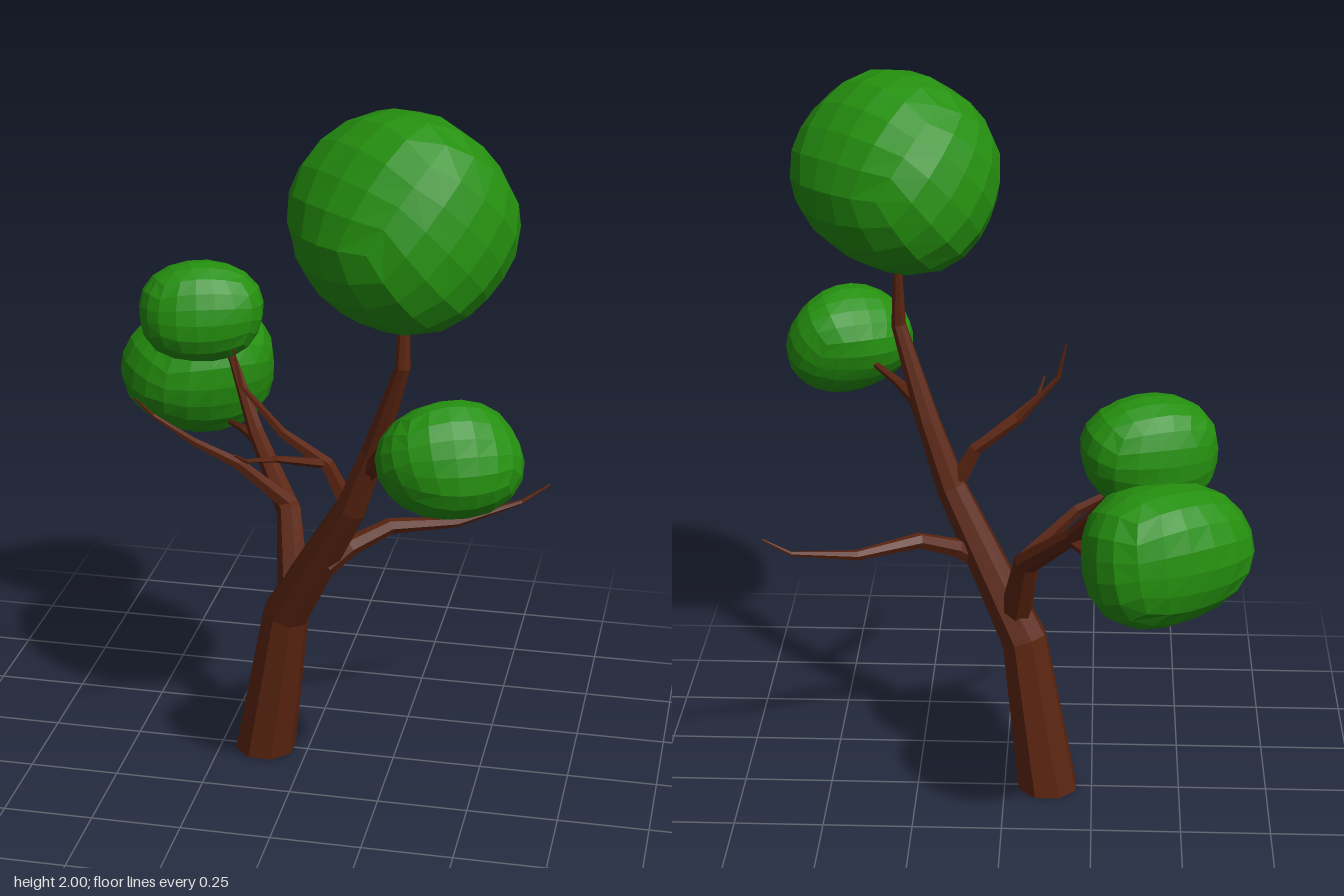
import * as THREE from 'three';
import { mergeVertices } from 'three/addons/utils/BufferGeometryUtils.js';

const UP = new THREE.Vector3(0, 1, 0);

// Limb along [x, y, z] points, tapering evenly from radius r0 to r1, capped at both ends
function limbGeometry(sides, r0, r1, points, startDir) {
  const centres = points.map(p => new THREE.Vector3(...p));
  const pos = [], index = [], last = points.length - 1;
  const along = [0];
  for (let i = 1; i <= last; i++) along.push(along[i - 1] + centres[i].distanceTo(centres[i - 1]));
  centres.forEach((c, i) => {
    const dir = new THREE.Vector3();
    if (i > 0) dir.add(c.clone().sub(centres[i - 1]).normalize());
    if (i < last) dir.add(centres[i + 1].clone().sub(c).normalize());
    if (startDir && i === 0) dir.copy(startDir);
    const q = new THREE.Quaternion().setFromUnitVectors(UP, dir.normalize());
    const r = THREE.MathUtils.lerp(r0, r1, along[i] / along[last]);
    for (let s = 0; s < sides; s++) {
      const a = (s + 0.5) / sides * Math.PI * 2;
      const v = new THREE.Vector3(Math.sin(a) * r, 0, Math.cos(a) * r).applyQuaternion(q).add(c);
      pos.push(v.x, v.y, v.z);
    }
  });
  for (let i = 0; i < last; i++) for (let s = 0; s < sides; s++) {
    const a = i * sides + s, b = i * sides + (s + 1) % sides;
    index.push(a, b, b + sides, a, b + sides, a + sides);
  }
  const top = last * sides;
  for (let s = 1; s < sides - 1; s++) {
    index.push(0, s + 1, s);
    index.push(top, top + s, top + s + 1);
  }
  const g = new THREE.BufferGeometry();
  g.setAttribute('position', new THREE.Float32BufferAttribute(pos, 3));
  g.setIndex(index);
  g.computeVertexNormals();
  return g;
}

// Lumpy ball made from a rounded cube, turned and sized to the clump
function foliageGeometry(centre, size, stretch, turn, seed) {
  let g = new THREE.BoxGeometry(2, 2, 2, 5, 5, 5);
  g.deleteAttribute('uv');
  g.deleteAttribute('normal');
  g = mergeVertices(g);
  const p = g.attributes.position, v = new THREE.Vector3();
  const spread = t => Math.tan(t * Math.PI / 4);
  for (let i = 0; i < p.count; i++) {
    v.fromBufferAttribute(p, i);
    v.set(spread(v.x), spread(v.y), spread(v.z)).normalize();
    const lump = 1 + 0.03 * Math.sin(3.1 * v.x + seed) * Math.cos(2.7 * v.y - seed)
      + 0.025 * Math.sin(3.7 * v.z + 2.3 * v.x + seed * 2)
      - 0.08 * (v.x ** 4 + v.y ** 4 + v.z ** 4);
    v.multiplyScalar(lump);
    p.setXYZ(i, v.x * stretch, v.y, v.z);
  }
  g.rotateX(0.4 + seed * 0.3);
  g.rotateY(turn);
  g.center();
  const ext = g.boundingBox.getSize(new THREE.Vector3());
  g.scale(size[0] / ext.x, size[1] / ext.y, size[2] / ext.z);
  g.translate(...centre);
  g.computeVertexNormals();
  return g;
}

export function createModel() {
  const bark = new THREE.MeshStandardMaterial({ color: 0x5a2410, flatShading: true });
  bark.name = 'bark brown';
  const leaf = new THREE.MeshStandardMaterial({ color: 0x25900f, flatShading: true });
  leaf.name = 'leaf green';
  const tree = new THREE.Group();
  tree.name = 'tree';

  const add = (name, geometry, material) => {
    const mesh = new THREE.Mesh(geometry, material);
    mesh.name = name;
    tree.add(mesh);
  };
  const limb = (name, ...spec) => add(name, limbGeometry(...spec), bark);
  const clump = (name, ...spec) => add(name, foliageGeometry(...spec), leaf);

  // Trunk, cut level at the ground
  limb('trunk', 8, 0.088, 0.008, [[-0.123, 0, 0.003], [-0.054, 0.45, 0.035], [0.157, 0.85, 0.18],
    [0.222, 1.03, 0.215], [0.308, 1.3, 0.28], [0.307, 1.46, 0.265], [0.32, 1.58, 0.29]], UP);

  // Branches that carry leaves
  limb('backBranch', 7, 0.046, 0.008, [[-0.03, 0.53, 0.045], [-0.062, 0.725, -0.045],
    [-0.195, 0.885, -0.215], [-0.29, 1.05, -0.34], [-0.34, 1.14, -0.36]]);
  limb('backLowerBranch', 5, 0.018, 0.005, [[-0.18, 0.865, -0.19], [-0.25, 0.855, -0.3],
    [-0.32, 0.825, -0.42], [-0.4, 0.88, -0.48]]);
  limb('frontBranch', 6, 0.027, 0.007, [[0.2, 0.95, 0.195], [0.265, 1.07, 0.29],
    [0.32, 1.09, 0.38], [0.42, 1.13, 0.48]]);

  // Bare twigs
  limb('rightTwig', 5, 0.024, 0.003, [[-0.06, 0.74, -0.05], [-0.2, 0.87, -0.01],
    [-0.32, 0.93, 0.005], [-0.43, 1.01, 0.03], [-0.47, 1.07, 0.065]]);
  limb('leftTwig', 6, 0.031, 0.003, [[0.08, 0.65, 0.13], [0.14, 0.7, 0.1], [0.24, 0.745, 0.045],
    [0.41, 0.735, -0.04], [0.58, 0.775, -0.125], [0.655, 0.825, -0.145]]);
  limb('upperTwig', 5, 0.026, 0.003, [[0.155, 0.84, 0.18], [0.09, 0.97, 0.18],
    [-0.03, 1.055, 0.19], [-0.14, 1.18, 0.19], [-0.162, 1.28, 0.187]]);
  limb('forkTwig', 5, 0.015, 0.003, [[0.08, 0.975, 0.185], [-0.02, 1.025, 0.3],
    [-0.08, 1.05, 0.39], [-0.098, 1.09, 0.45]]);

  // Leaf clumps: centre, overall size, stretch, turn, seed
  clump('topFoliage', [0.315, 1.72, 0.357], [0.58, 0.56, 0.54], 1.08, -0.78, 1.3);
  clump('frontFoliage', [0.472, 1.165, 0.542], [0.365, 0.31, 0.285], 1.3, 0.45, 2.1);
  clump('backUpperFoliage', [-0.385, 1.188, -0.35], [0.355, 0.295, 0.275], 1.3, 0.35, 3.4);
  clump('backLowerFoliage', [-0.437, 0.958, -0.497], [0.445, 0.38, 0.375], 1.28, 0.6, 4.6);
  return tree;
}
